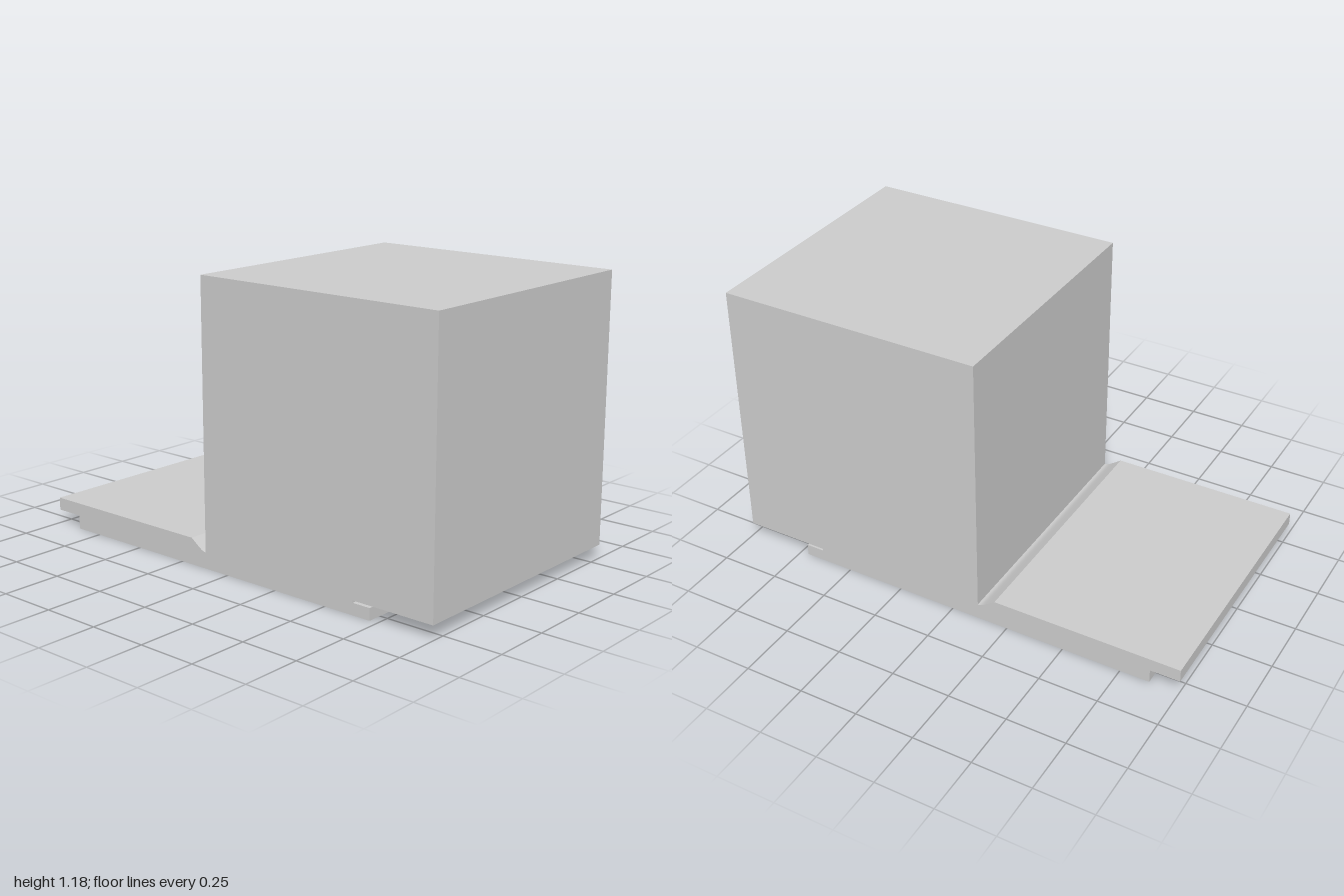
import * as THREE from 'three';

const DEPTH = 1.12;

export function createModel() {
  const group = new THREE.Group();

  // Cross-section: stepped base plate, cove at the foot of the block, undercut slot
  const s = new THREE.Shape();
  s.moveTo(-0.875, 0);
  s.lineTo(0.715, 0);
  s.lineTo(0.715, 0.049);
  s.lineTo(0.635, 0.049);
  s.lineTo(0.635, 0.058);
  s.lineTo(1, 0.058);
  s.lineTo(1, 1.177);
  s.lineTo(-0.118, 1.177);
  s.lineTo(-0.118, 0.068);
  s.bezierCurveTo(-0.135, 0.068, -0.142, 0.074, -0.195, 0.112);
  s.lineTo(-1, 0.112);
  s.lineTo(-1, 0.058);
  s.lineTo(-0.875, 0.058);
  s.closePath();

  const geometry = new THREE.ExtrudeGeometry(s, { depth: DEPTH, bevelEnabled: false, curveSegments: 12 });
  geometry.translate(0, 0, -DEPTH / 2);

  const body = new THREE.Mesh(geometry, new THREE.MeshStandardMaterial({ color: 0xcccccc }));
  body.name = 'blockOnSteppedBase';
  group.add(body);
  return group;
}
